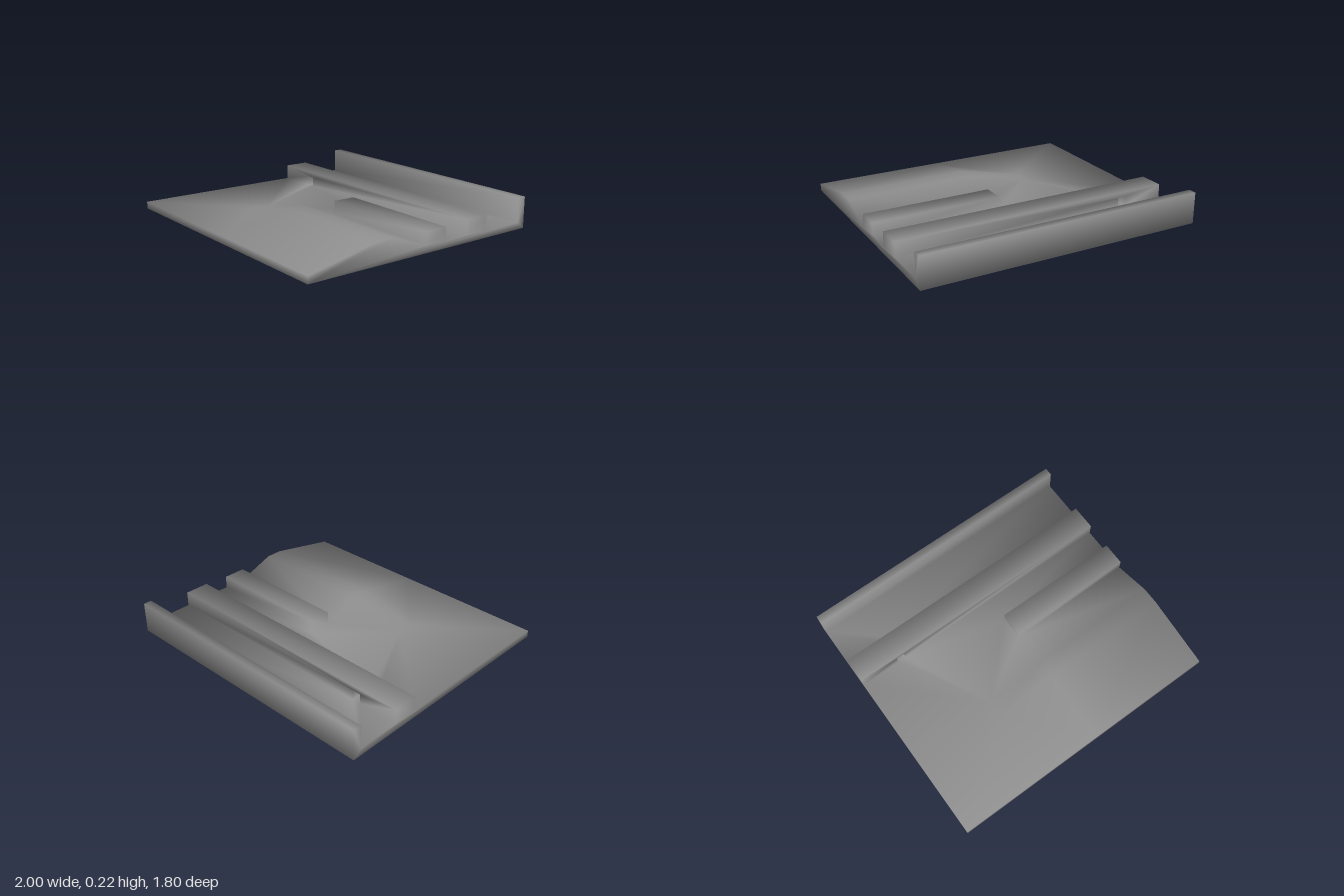
import * as THREE from 'three';

const BASE = 0.05, HILL = 0.15;
const SLOT = { x0: -0.71, x1: -0.65, top: 0.12 };

// Slab with a ramped mound, open where the bars stand on it
function groundFaces() {
  const corners = {
    A: [-1, BASE, 0.9], B: [0.08, BASE, 0.9], C: [1, BASE, 0.9],
    D: [1, HILL, 0.39], E: [1, HILL, 0.27], F: [1, BASE, 0],
    G: [0.08, BASE, 0], H: [0.08, HILL, 0.27], I: [0.08, HILL, 0.39],
    J: [-0.36, BASE, 0.39], K: [-0.36, BASE, 0.27],
    // feet of the short rail, long rail, slot and back wall
    S: [0.08, BASE, -0.165], T: [1, BASE, -0.165],
    N: [1, BASE, -0.35], O: [-1, BASE, -0.35], n: [1, BASE, -0.53], o: [-1, BASE, -0.53],
    P: [SLOT.x0, BASE, -0.35], Q: [SLOT.x1, BASE, -0.35],
    p: [SLOT.x0, BASE, -0.53], q: [SLOT.x1, BASE, -0.53],
    V: [-1, BASE, -0.84], W: [1, BASE, -0.84],
    // underside
    a: [-1, 0, 0.9], c: [1, 0, 0.9], v: [-1, 0, -0.9], w: [1, 0, -0.9],
  };
  return [
    'BCDI', 'IDEH', 'EFGH', 'JBI', 'JIHK', 'KHG', // mound
    'ABJ', 'AJKO', 'KPO', 'KQP', 'KGSQ', 'STNQ', 'PQqp', // flat ground in front
    'opV', 'pqV', 'qnW', 'qWV', // ground behind the long rail
    'acCBA', 'cwWnNTFEDC', 'aAOoVv', 'vwca', // front, sides, underside
  ].map((face) => [...face].map((key) => corners[key]));
}

// Straight bar between two z values, with an optional slot along its foot
function barFaces({ x0, x1, top, z0, z1, backFoot = BASE, slot }) {
  const faces = [
    [[x0, top, z1], [x1, top, z1], [x1, top, z0], [x0, top, z0]],
    [[x1, BASE, z1], [x1, backFoot, z0], [x1, top, z0], [x1, top, z1]],
    [[x0, BASE, z1], [x0, top, z1], [x0, top, z0], [x0, backFoot, z0]],
  ];
  let panels = [[[x0, BASE], [x1, BASE], [x1, top], [x0, top]]];
  if (slot) {
    const { x0: s0, x1: s1, top: st } = slot;
    panels = [
      [[x0, BASE], [s0, BASE], [s0, st], [x0, top]],
      [[x0, top], [s0, st], [s1, st], [x1, top]],
      [[s1, BASE], [x1, BASE], [x1, top], [s1, st]],
    ];
    // slot sides and ceiling
    faces.push(
      [[s0, BASE, z1], [s0, BASE, z0], [s0, st, z0], [s0, st, z1]],
      [[s1, BASE, z1], [s1, st, z1], [s1, st, z0], [s1, BASE, z0]],
      [[s0, st, z0], [s1, st, z0], [s1, st, z1], [s0, st, z1]],
    );
  }
  panels.forEach((panel) => {
    faces.push(panel.map(([x, y]) => [x, y, z1]));
    faces.push(panel.map(([x, y]) => [x, y === BASE ? backFoot : y, z0]).reverse());
  });
  return faces;
}

// Fan each face into triangles
function triangulate(faces) {
  const triangles = [];
  faces.forEach((face) => {
    const points = face.map((p) => new THREE.Vector3(...p));
    for (let i = 1; i < points.length - 1; i++) {
      triangles.push([points[0], points[i], points[i + 1]]);
    }
  });
  return triangles;
}

const keyOf = (p) => p.toArray().map((n) => n.toFixed(3)).join();

// Smooth normals shared by all parts, each face weighted by its corner angle
function sharedNormals(triangles) {
  const normals = new Map();
  triangles.forEach((triangle) => {
    const normal = new THREE.Triangle(...triangle).getNormal(new THREE.Vector3());
    triangle.forEach((p, i) => {
      const toNext = triangle[(i + 1) % 3].clone().sub(p);
      const toLast = triangle[(i + 2) % 3].clone().sub(p);
      const key = keyOf(p);
      if (!normals.has(key)) normals.set(key, new THREE.Vector3());
      normals.get(key).addScaledVector(normal, toNext.angleTo(toLast));
    });
  });
  normals.forEach((n) => n.normalize());
  return normals;
}

export function createModel() {
  const model = new THREE.Group();
  model.name = 'terrainTile';
  const material = new THREE.MeshStandardMaterial({ color: 0x8e8e8e });

  const parts = {
    groundWithMound: groundFaces(),
    backWall: barFaces({ x0: -1, x1: 1, top: 0.22, z0: -0.9, z1: -0.84, backFoot: 0 }),
    longRail: barFaces({ x0: -1, x1: 1, top: 0.155, z0: -0.53, z1: -0.35, slot: SLOT }),
    shortRail: barFaces({ x0: 0.08, x1: 1, top: 0.14, z0: -0.165, z1: 0 }),
  };
  const normals = sharedNormals(triangulate(Object.values(parts).flat()));

  Object.entries(parts).forEach(([name, faces]) => {
    const points = triangulate(faces).flat();
    const geometry = new THREE.BufferGeometry().setFromPoints(points);
    const normalValues = points.flatMap((p) => normals.get(keyOf(p)).toArray());
    geometry.setAttribute('normal', new THREE.Float32BufferAttribute(normalValues, 3));
    const mesh = new THREE.Mesh(geometry, material);
    mesh.name = name;
    model.add(mesh);
  });
  return model;
}
